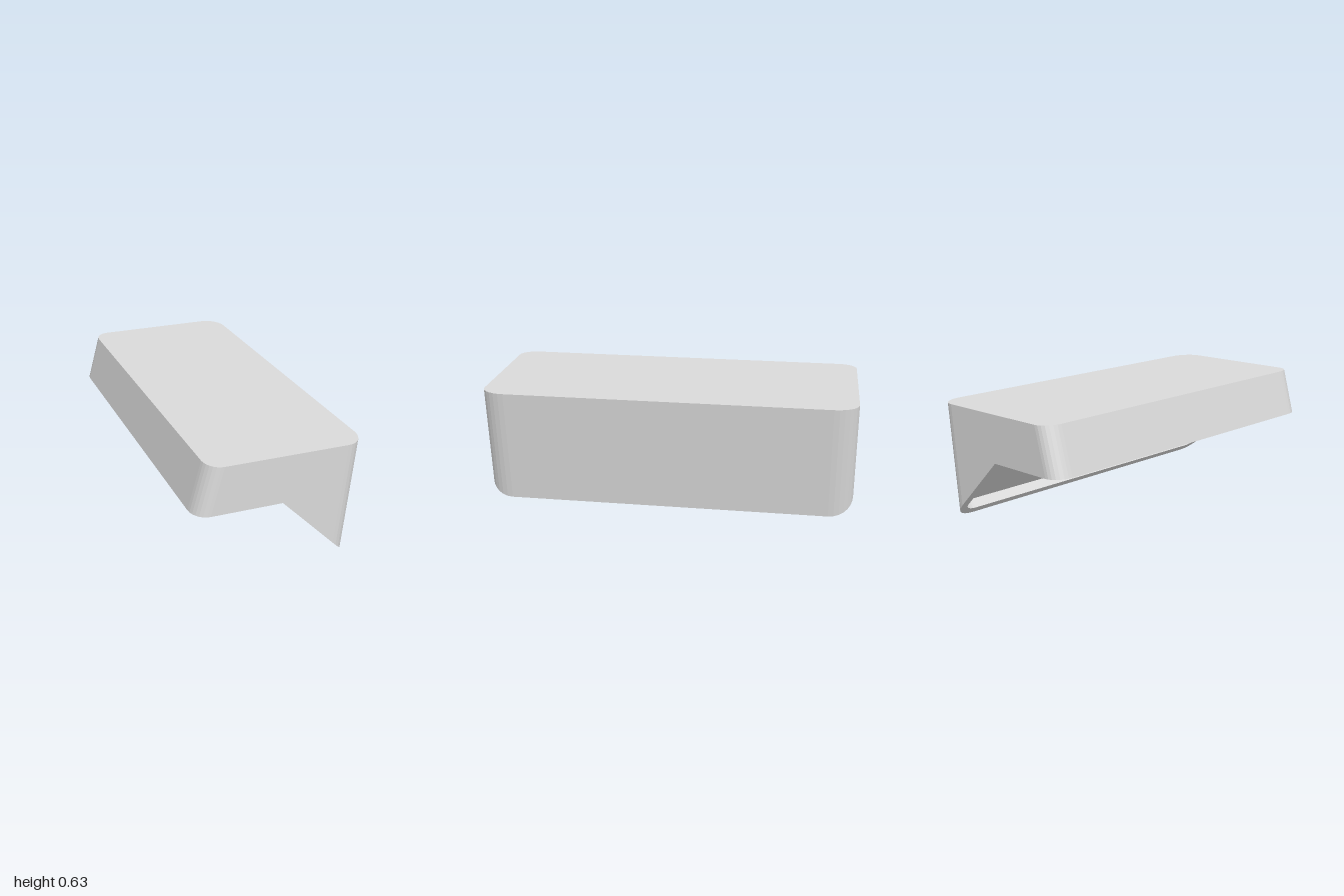
import * as THREE from 'three';

const TOP = 0.625, UNDERSIDE = 0.374, NOTCH = 0.006, WALL = 0.045, DEPTH = 0.055;
const LEAN_LEFT = 0.28, LEAN_RIGHT = 0.107; // x change per unit of height

// Rounded outline at the top, counter-clockwise seen from above, inset by t.
// Each column keeps its own lean so the side walls taper.
function outline(t, steps = 7) {
  const cols = [];
  const corner = (cx, cz, rx, rz, start, lean) => {
    for (let i = 0; i <= steps; i++) {
      const a = start + (i / steps) * Math.PI / 2;
      cols.push({ x: cx + rx * Math.cos(a), z: cz - rz * Math.sin(a), lean });
    }
  };
  const xr = 0.447 - t * 0.85, xl = -0.377 + t, ze = 1 - t;
  const rx = 0.1 - t, rz = 0.13 - t, lx = 0.08 - t * 0.8, lz = 0.1 - t;
  corner(xr - rx, -ze + rz, rx, rz, 0, LEAN_RIGHT);
  cols.push({ x: NOTCH, z: -ze, lean: 0 });
  corner(xl + lx, -ze + lz, lx, lz, Math.PI / 2, LEAN_LEFT);
  corner(xl + lx, ze - lz, lx, lz, Math.PI, LEAN_LEFT);
  cols.push({ x: NOTCH, z: ze, lean: 0 });
  corner(xr - rx, ze - rz, rx, rz, Math.PI * 1.5, LEAN_RIGHT);
  return cols;
}

const at = (c, y) => [c.x + c.lean * (y - TOP), y, c.z];

// Lower end of a column: flat underside on one half, 45 degree cut on the other
function lower(c) {
  const cut = (UNDERSIDE + NOTCH - c.x + TOP * c.lean) / (1 + c.lean);
  return at(c, c.x < NOTCH ? UNDERSIDE : Math.min(UNDERSIDE, cut));
}

// Push a rim point into the body, square to the flat or the sloping underside
function sink([x, y, z]) {
  if (x < NOTCH) return [x, y + DEPTH, z];
  if (x === NOTCH) return [x + DEPTH * Math.tan(Math.PI / 8), y + DEPTH, z];
  return [x + DEPTH * Math.SQRT1_2, y + DEPTH * Math.SQRT1_2, z];
}

// Closed band of quads between two rings
function band(a, b) {
  const pos = [];
  a.forEach((p, i) => {
    const j = (i + 1) % a.length;
    pos.push(...p, ...a[j], ...b[j], ...p, ...b[j], ...b[i]);
  });
  return pos;
}

// Panel filling a ring, in strips that join each point to its mirror in z
function panel(ring) {
  const pos = [], n = ring.length;
  for (let i = 0; i < n / 2 - 1; i++) {
    const p = ring[i], q = ring[i + 1], mq = ring[n - 2 - i], mp = ring[n - 1 - i];
    pos.push(...p, ...q, ...mq, ...p, ...mq, ...mp);
  }
  return pos;
}

export function createModel() {
  const group = new THREE.Group();
  group.name = 'hood';
  const grey = new THREE.MeshStandardMaterial({ color: 0xd9d9d9, flatShading: true });
  grey.name = 'light grey';

  const add = (name, positions) => {
    const geo = new THREE.BufferGeometry();
    geo.setAttribute('position', new THREE.Float32BufferAttribute(positions, 3));
    geo.computeVertexNormals();
    const mesh = new THREE.Mesh(geo, grey);
    mesh.name = name;
    group.add(mesh);
  };

  const outer = outline(0);
  const topRing = outer.map(c => at(c, TOP));
  const outerRim = outer.map(lower);
  const innerRim = outline(WALL).map(lower);
  const recessRing = innerRim.map(sink);

  add('topPanel', panel(topRing));
  add('outerWalls', band(outerRim, topRing));
  add('rim', band(innerRim, outerRim));
  add('recessWalls', band(recessRing, innerRim));
  add('recessPanel', panel(recessRing.slice().reverse()));
  return group;
}
